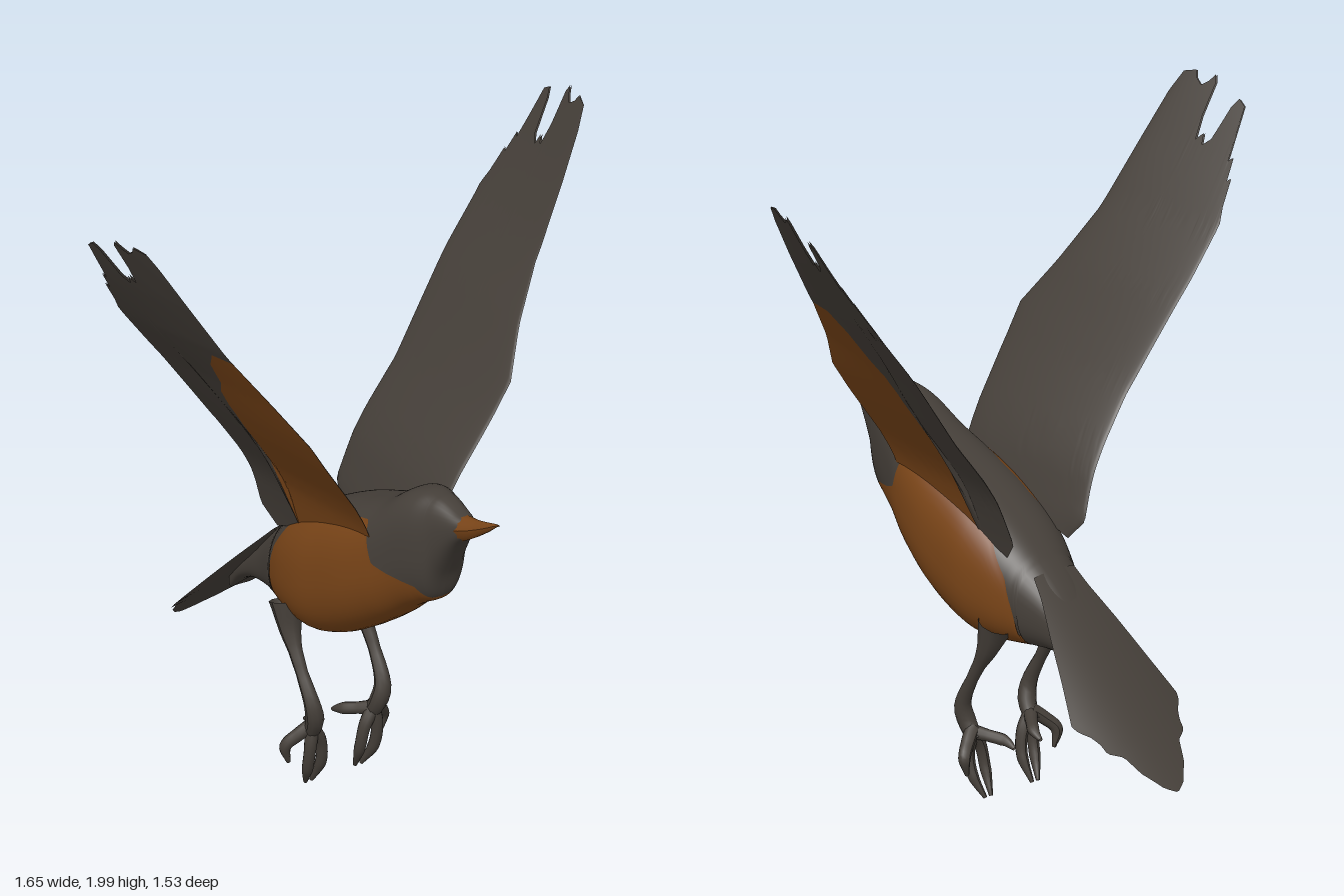
import * as THREE from 'three';

const plumage = new THREE.MeshStandardMaterial({ color: 0x453f39, side: THREE.DoubleSide });
plumage.name = 'dark grey plumage';
const rust = new THREE.MeshStandardMaterial({ color: 0x7a4518, side: THREE.DoubleSide });
rust.name = 'rust orange';

const lerp = THREE.MathUtils.lerp;

// Linear lookup in a table of [key, value] rows with rising keys
function look(table, x) {
  if (x <= table[0][0]) return table[0][1];
  for (let i = 1; i < table.length; i++) {
    const [a, va] = table[i - 1], [b, vb] = table[i];
    if (x <= b) return lerp(va, vb, (x - a) / (b - a));
  }
  return table[table.length - 1][1];
}

// Smooth sheet from f(u, v) -> [x, y, z]
function sheet(name, material, nu, nv, f) {
  const pos = [], idx = [];
  for (let i = 0; i <= nu; i++)
    for (let j = 0; j <= nv; j++) pos.push(...f(i / nu, j / nv));
  for (let i = 0; i < nu; i++)
    for (let j = 0; j < nv; j++) {
      const a = i * (nv + 1) + j, b = a + nv + 1;
      idx.push(a, b, a + 1, b, b + 1, a + 1);
    }
  const geo = new THREE.BufferGeometry();
  geo.setAttribute('position', new THREE.Float32BufferAttribute(pos, 3));
  geo.setIndex(idx);
  geo.computeVertexNormals();
  const mesh = new THREE.Mesh(geo, material);
  mesh.name = name;
  return mesh;
}

// Tapered tube through points, radii spread evenly along its length
function limb(name, material, points, radii, seg = 20) {
  const curve = new THREE.CatmullRomCurve3(points.map(p => new THREE.Vector3(...p)));
  const { normals, binormals } = curve.computeFrenetFrames(seg);
  const table = radii.map((r, i) => [i / (radii.length - 1), r]);
  return sheet(name, material, seg, 10, (u, v) => {
    const i = Math.round(u * seg), r = look(table, u), a = v * Math.PI * 2;
    return curve.getPointAt(u)
      .addScaledVector(normals[i], r * Math.cos(a))
      .addScaledVector(binormals[i], r * Math.sin(a)).toArray();
  });
}

// Body sections: z, top, bottom, half width
const sections = [
  [0.63, 1.095, 1.05, 0.022], [0.58, 1.105, 1.0, 0.045], [0.52, 1.125, 0.89, 0.066],
  [0.49, 1.13, 0.8, 0.08], [0.44, 1.13, 0.765, 0.1], [0.38, 1.11, 0.725, 0.12],
  [0.3, 1.055, 0.66, 0.147], [0.2, 1.01, 0.59, 0.168], [0.1, 0.97, 0.535, 0.175],
  [0, 0.92, 0.505, 0.175], [-0.1, 0.86, 0.508, 0.155], [-0.2, 0.775, 0.52, 0.115],
  [-0.27, 0.71, 0.525, 0.09], [-0.35, 0.625, 0.52, 0.072], [-0.43, 0.55, 0.485, 0.05],
  [-0.52, 0.465, 0.415, 0.012],
];
const profiles = [1, 2, 3].map(c =>
  new THREE.SplineCurve(sections.map(s => new THREE.Vector2(s[0], s[c]))));

// Height of the upper edge of the orange breast, by z
const breastEdge = [
  [-0.19, 0.5], [-0.18, 0.64], [-0.15, 0.74], [-0.08, 0.84], [0, 0.9], [0.12, 0.96],
  [0.29, 1.0], [0.33, 0.88], [0.38, 0.86], [0.46, 0.84], [0.495, 0.79],
];

function bodyPoint(index, v, isBreast) {
  const u = index / (sections.length - 1);
  const [top, bottom, width] = profiles.map(p => p.getPoint(u));
  const z = top.x, mid = (top.y + bottom.y) / 2, h = (top.y - bottom.y) / 2;
  const inRange = z > -0.19 && z < 0.495;
  const q = inRange ? THREE.MathUtils.clamp((look(breastEdge, z) - mid) / h, -1, 1) : -1;
  const edge = Math.acos(-Math.sign(q) * Math.abs(q) ** (1 / 0.85));
  const w = v * 2 - 1;
  const a = isBreast ? w * edge : Math.PI - w * (Math.PI - edge);
  const c = Math.cos(a), s = Math.sin(a);
  return [
    width.y * Math.sign(s) * Math.abs(s) ** 0.75,
    mid - h * Math.sign(c) * Math.abs(c) ** 0.85,
    z,
  ];
}

// Wing tables: leading and trailing z by height, sideways reach by height
const leading = [[0.8, 0.31], [1.0, 0.32], [1.2, 0.335], [1.32, 0.34], [1.45, 0.27], [1.6, 0.21], [1.8, 0.17], [2, 0.125]];
const trailing = [[0.8, -0.15], [0.86, -0.2], [0.95, -0.19], [1.2, -0.17], [1.5, -0.2], [1.65, -0.2], [2, -0.16]];
const reach = [[0.8, 0.08], [0.95, 0.13], [1.0, 0.15], [1.07, 0.19], [1.23, 0.3], [1.45, 0.44], [1.63, 0.565], [1.8, 0.67], [2, 0.79]];
// Ragged feather tips and orange lining limit, by chord fraction
const tips = [
  [0, 1.93], [0.04, 1.99], [0.17, 2], [0.22, 1.98], [0.3, 1.965], [0.36, 1.98], [0.4, 2], [0.44, 1.98],
  [0.46, 1.89], [0.5, 1.83], [0.55, 1.85], [0.58, 1.82], [0.64, 1.84], [0.7, 1.93], [0.75, 1.955],
  [0.83, 1.94], [0.85, 1.87], [0.87, 1.8], [0.9, 1.81], [0.92, 1.75], [0.95, 1.76], [0.97, 1.69], [1, 1.65],
];
const lining = [[0, 1.6], [0.2, 1.6], [0.36, 1.54], [0.47, 1.45], [0.58, 1.4], [0.64, 1.34], [0.67, 1.25], [0.69, 1.1], [0.7, 0.8]];

function wing(side) {
  const group = new THREE.Group();
  group.name = side > 0 ? 'leftWing' : 'rightWing';
  const root = c => lerp(0.93, 0.8, c);
  const liningTop = c => Math.max(root(c), look(lining, c));
  const point = (c, y, upper) => {
    const span = THREE.MathUtils.smoothstep(y, 1, 1.9);
    const thick = upper ? 0.022 * (1 - 0.7 * span) * Math.sqrt(Math.max(0, Math.sin(Math.PI * c))) : 0;
    const x = look(reach, y) + c * (0.035 + 0.045 * span);
    return [side * (x - thick * 0.83), y + thick * 0.5, lerp(look(leading, y), look(trailing, y), c)];
  };
  group.add(
    sheet('wingUpperSide', plumage, 100, 36, (c, s) => point(c, lerp(root(c), look(tips, c), s), true)),
    sheet('wingLining', rust, 70, 24, (u, s) => point(u * 0.7, lerp(root(u * 0.7), liningTop(u * 0.7), s))),
    sheet('flightFeathers', plumage, 100, 30, (c, s) => point(c, lerp(liningTop(c), look(tips, c), s))),
  );
  return group;
}

// Fan tail: half width by z, gently arched
const tailWidth = [
  [-0.765, 0.005], [-0.75, 0.035], [-0.7, 0.08], [-0.65, 0.105], [-0.625, 0.145], [-0.6, 0.15], [-0.575, 0.165],
  [-0.55, 0.19], [-0.53, 0.2], [-0.45, 0.165], [-0.35, 0.125], [-0.27, 0.09], [-0.2, 0.07],
];
function tail(upper) {
  return sheet(upper ? 'tailTop' : 'tailUnderside', plumage, 60, 20, (u, v) => {
    const z = lerp(-0.22, -0.765, u), w = v * 2 - 1, x = w * look(tailWidth, z);
    const y = lerp(0.755, 0.235, u) - x * x * 1.1;
    return [x, y - (upper ? 0 : 0.04 * (1 - u) * (1 - w * w)), z];
  });
}

function leg(side) {
  const group = new THREE.Group();
  group.name = side > 0 ? 'leftLeg' : 'rightLeg';
  const add = (name, points, radii) =>
    group.add(limb(name, plumage, points.map(([x, y, z]) => [side * x, y, z]), radii));
  add('shank', [[0.115, 0.58, -0.1], [0.125, 0.5, -0.075], [0.13, 0.4, -0.02], [0.125, 0.29, 0.035], [0.115, 0.24, 0.03], [0.11, 0.19, 0]],
    [0.055, 0.035, 0.021, 0.018, 0.022, 0.028, 0.024]);
  add('innerToe', [[0.11, 0.21, 0.01], [0.08, 0.16, 0.01], [0.07, 0.09, 0], [0.078, 0.015, -0.035]], [0.022, 0.018, 0.017, 0.006]);
  add('middleToe', [[0.11, 0.21, 0.01], [0.12, 0.15, 0.015], [0.118, 0.08, 0], [0.1, 0.015, -0.035]], [0.022, 0.018, 0.017, 0.006]);
  add('outerToe', [[0.11, 0.22, 0.01], [0.145, 0.19, -0.01], [0.175, 0.155, -0.03], [0.165, 0.1, -0.03]], [0.022, 0.02, 0.018, 0.006]);
  add('hindToe', [[0.11, 0.21, 0.01], [0.08, 0.2, -0.03], [0.055, 0.19, -0.07], [0.05, 0.175, -0.105]], [0.022, 0.018, 0.018, 0.006]);
  return group;
}

export function createModel() {
  const bird = new THREE.Group();
  bird.name = 'bird';
  const last = sections.length - 1;
  bird.add(
    sheet('headAndBack', plumage, last * 12, 36, (u, v) => bodyPoint(u * last, v, false)),
    sheet('breast', rust, 102, 36, (u, v) => bodyPoint(2.5 + u * 8.5, v, true)),
    limb('beak', rust, [[0, 1.055, 0.57], [0, 1.08, 0.64], [0, 1.107, 0.7], [0, 1.133, 0.75], [0, 1.138, 0.765]],
      [0.044, 0.034, 0.022, 0.012, 0.001]),
    tail(true), tail(false),
  );
  for (const side of [1, -1]) bird.add(wing(side), leg(side));
  return bird;
}
